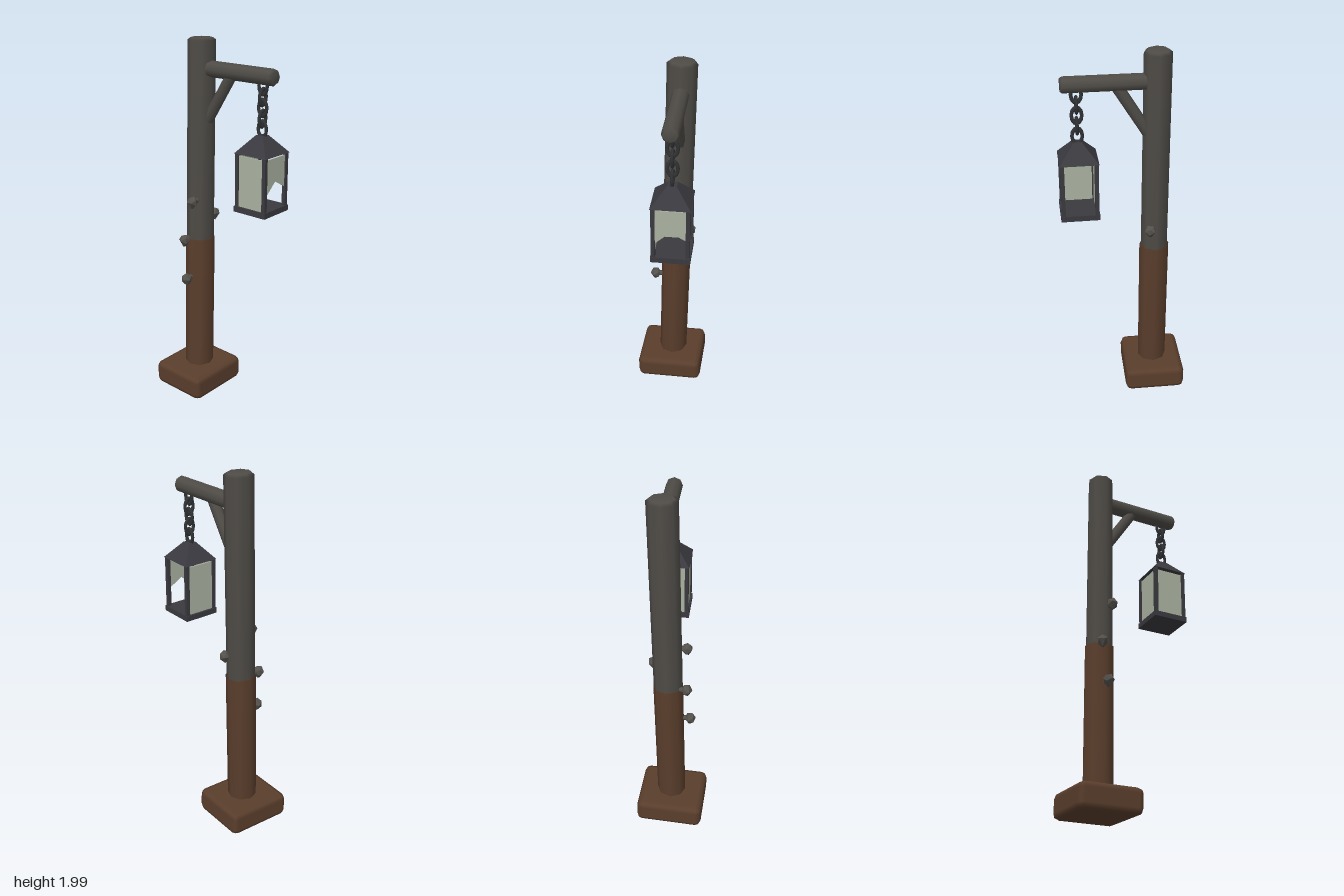
import * as THREE from 'three';
import { RoundedBoxGeometry } from 'three/addons/geometries/RoundedBoxGeometry.js';

const paint = (name, color, extra = {}) => {
  const m = new THREE.MeshStandardMaterial({ color, ...extra });
  m.name = name;
  return m;
};

// Faceted copy of a geometry
const facet = (g) => {
  const f = g.index ? g.toNonIndexed() : g;
  f.computeVertexNormals();
  return f;
};

// Eight-sided log with bevelled ends, softly shaded over its end caps
const log = (r0, r1, length, bevel = 0.012) => new THREE.LatheGeometry([
  [0, 0], [r0 * 0.8, 0], [r0, bevel], [r1, length - bevel], [r1 * 0.78, length], [0, length],
].map(([x, y]) => new THREE.Vector2(x, y)), 8);

export function createModel() {
  const group = new THREE.Group();
  const brown = paint('brown wood', 0x5a3e2c);
  const grey = paint('grey wood', 0x4f4c47);
  const iron = paint('dark iron', 0x3a393f);
  const chainIron = paint('chain iron', 0x323336);
  const glass = paint('pale glass', 0xaab2a0, { side: THREE.DoubleSide });
  const fungus = paint('fungus', 0x55524d);

  const add = (parent, name, geometry, material, x = 0, y = 0, z = 0) => {
    const m = new THREE.Mesh(geometry, material);
    m.name = name;
    m.position.set(x, y, z);
    parent.add(m);
    return m;
  };

  // Slightly crooked foot block
  const base = add(group, 'base', new RoundedBoxGeometry(0.372, 0.135, 0.336, 1, 0.032), brown, 0, 0.08, -0.165);
  base.rotation.set(0.01, -0.03, 0.03);

  // Leaning post in two tones
  const post = new THREE.Group();
  post.name = 'post';
  post.position.set(0.002, 0, -0.163);
  post.rotation.set(0.0015, 0, -0.021);
  group.add(post);
  add(post, 'lowerPost', log(0.08, 0.08, 0.83, 0.006), brown, 0, 0.09, 0);
  add(post, 'upperPost', log(0.078, 0.077, 1.11), grey, 0, 0.89, 0).scale.z = 0.92;

  // Arm and diagonal brace
  const beam = (name, r, from, to) => {
    const a = new THREE.Vector3(...from), d = new THREE.Vector3(...to).sub(a);
    const m = add(group, name, log(r, r, d.length()), grey, ...from);
    m.quaternion.setFromUnitVectors(new THREE.Vector3(0, 1, 0), d.normalize());
  };
  beam('arm', 0.043, [0.042, 1.845, -0.14], [0.042, 1.845, 0.318]);
  beam('brace', 0.03, [0.037, 1.56, -0.125], [0.042, 1.84, 0.05]);

  // Chain of alternating oval links
  const chain = new THREE.Group();
  chain.name = 'chain';
  chain.position.set(0.045, 0, 0.24);
  group.add(chain);
  for (let i = 0; i < 5; i++) {
    const link = add(chain, 'chainLink', new THREE.TorusGeometry(0.026, 0.009, 6, 12), chainIron, 0, 1.795 - i * 0.054, 0);
    link.scale.y = 1.5;
    link.rotation.y = i % 2 ? 0 : Math.PI / 2;
  }

  // Lantern
  const lantern = new THREE.Group();
  lantern.name = 'lantern';
  lantern.position.set(0.045, 0, 0.24);
  group.add(lantern);
  const roofShape = new THREE.CylinderGeometry(0.024 * Math.SQRT2, 0.1 * Math.SQRT2, 0.09, 4).rotateY(Math.PI / 4);
  add(lantern, 'lanternRoof', facet(roofShape), iron, 0, 1.503, 0);
  add(lantern, 'lanternFloor', new THREE.BoxGeometry(0.2, 0.03, 0.2), iron, 0, 1.163, 0);
  for (const x of [-1, 1]) for (const z of [-1, 1])
    add(lantern, 'lanternCorner', new THREE.BoxGeometry(0.02, 0.285, 0.02), iron, x * 0.086, 1.318, z * 0.086);

  // Whole panes at the back and one side; the other side is empty
  const pane = new THREE.BoxGeometry(0.158, 0.27, 0.006);
  add(lantern, 'backPane', pane, glass, 0, 1.312, -0.086);
  add(lantern, 'sidePane', pane, glass, -0.086, 1.312, 0).rotation.y = Math.PI / 2;

  // Front pane with its lower part broken away
  const shard = new THREE.Shape([
    [-0.079, 1.447], [-0.079, 1.255], [0, 1.325], [0.079, 1.28], [0.079, 1.447],
  ].map(([x, y]) => new THREE.Vector2(x, y)));
  const shardShape = new THREE.ExtrudeGeometry(shard, { depth: 0.006, bevelEnabled: false });
  add(lantern, 'brokenFrontPane', shardShape, glass, 0, 0, 0.083);

  // Fungus lumps growing on the post, pointed below
  const lump = new THREE.IcosahedronGeometry(0.031, 0);
  const p = lump.attributes.position;
  for (let i = 0; i < p.count; i++)
    if (p.getY(i) < -0.02) p.setXYZ(i, p.getX(i) * 0.5, p.getY(i) * 1.5, p.getZ(i) * 0.5);
  const lumpShape = facet(lump);
  [[-0.075, 1.145, -0.132], [0.102, 1.04, -0.128], [-0.08, 0.915, -0.188], [-0.098, 0.695, -0.16]]
    .forEach(([x, y, z], i) => {
      const m = add(group, 'fungusLump', lumpShape, fungus, x, y, z);
      m.rotation.y = i * 1.3;
      // Short stem into the wood
      const stem = add(group, 'fungusStem', new THREE.CylinderGeometry(0.014, 0.014, 0.06, 6), fungus, x - Math.sign(x) * 0.025, y, z);
      stem.rotation.z = Math.PI / 2;
    });

  return group;
}
